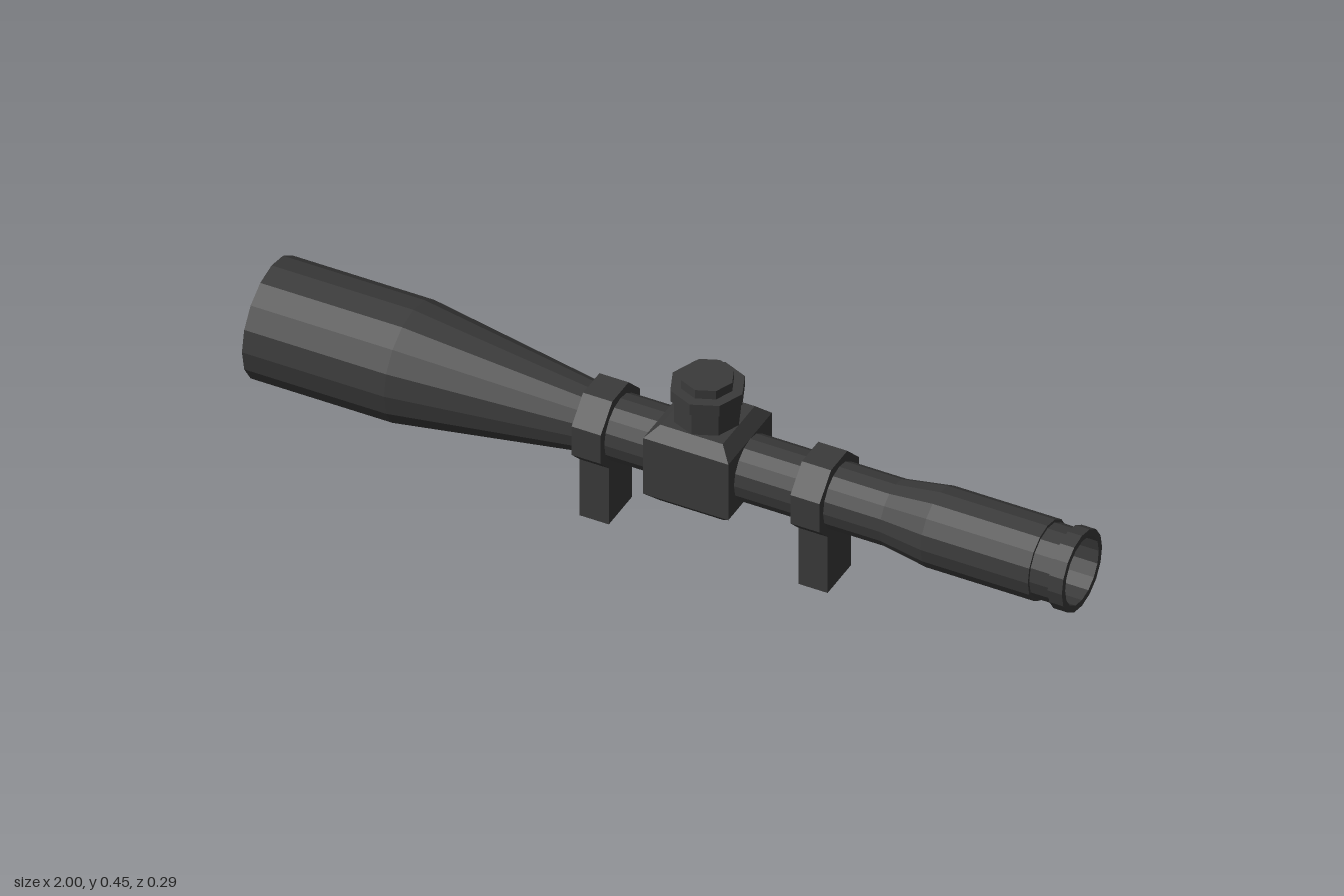
import * as THREE from 'three';

const AXIS_Y = 0.234; // height of the optical axis

export function createModel() {
  const model = new THREE.Group();
  const blackMetal = new THREE.MeshStandardMaterial({ color: 0x3a3a3a, flatShading: true });
  blackMetal.name = 'blackMetal';
  const paleGlass = new THREE.MeshStandardMaterial({ color: 0xdddddd, flatShading: true });
  paleGlass.name = 'paleGlass';

  const add = (name, geometry, material, x, y, z = 0) => {
    const mesh = new THREE.Mesh(geometry, material);
    mesh.name = name;
    mesh.position.set(x, y, z);
    model.add(mesh);
    return mesh;
  };
  const lathe = (points, sides) =>
    new THREE.LatheGeometry(points.map(([r, h]) => new THREE.Vector2(r, h)), sides);

  // Main tube: objective bell, taper, tube, eyepiece, with hollow ends
  const tube = lathe([
    [0, -0.94], [0.108, -0.94], [0.108, -1], [0.143, -1], [0.143, -0.65],
    [0.078, -0.2], [0.078, 0.54], [0.095, 0.65], [0.095, 0.915],
    [0.088, 0.915], [0.088, 0.965], [0.097, 0.965], [0.097, 1],
    [0.081, 1], [0.081, 0.93], [0, 0.93],
  ], 16);
  tube.rotateZ(-Math.PI / 2);
  add('scopeTube', tube, blackMetal, 0, AXIS_Y);

  // Slightly domed lenses, recessed in both ends
  const lens = (name, radius, x, dir) => {
    const g = new THREE.ConeGeometry(radius, 0.02, 16, 1, true);
    g.rotateZ(-dir * Math.PI / 2);
    add(name, g, paleGlass, x, AXIS_Y);
  };
  lens('objectiveLens', 0.108, -0.952, -1);
  lens('eyepieceLens', 0.081, 0.942, 1);

  // Square housing with bevelled top and bottom edges
  const s = Math.SQRT2;
  const housing = lathe([
    [0, -0.105], [0.077 * s, -0.105], [0.105 * s, -0.077],
    [0.105 * s, 0.077], [0.077 * s, 0.105], [0, 0.105],
  ], 4);
  housing.rotateY(Math.PI / 4);
  add('turretHousing', housing, blackMetal, 0.076, 0.235);

  // Stepped octagonal adjustment turret
  for (const [name, r, y0, y1] of [
    ['turretBase', 0.077, 0.33, 0.4],
    ['turretCap', 0.086, 0.4, 0.429],
    ['turretTop', 0.061, 0.429, 0.452],
  ]) {
    add(name, new THREE.CylinderGeometry(r, r, y1 - y0, 8), blackMetal, 0.076, (y0 + y1) / 2);
  }

  // Two mounts: octagonal ring on a square post
  const ringRadius = 0.095 / Math.cos(Math.PI / 8);
  for (const [name, x] of [['front', -0.175], ['rear', 0.365]]) {
    const ring = new THREE.CylinderGeometry(ringRadius, ringRadius, 0.072, 8, 1, false, Math.PI / 8);
    ring.rotateZ(-Math.PI / 2);
    add(name + 'MountRing', ring, blackMetal, x, AXIS_Y);
    add(name + 'MountPost', new THREE.BoxGeometry(0.072, 0.16, 0.112), blackMetal, x, 0.08);
  }
  return model;
}
